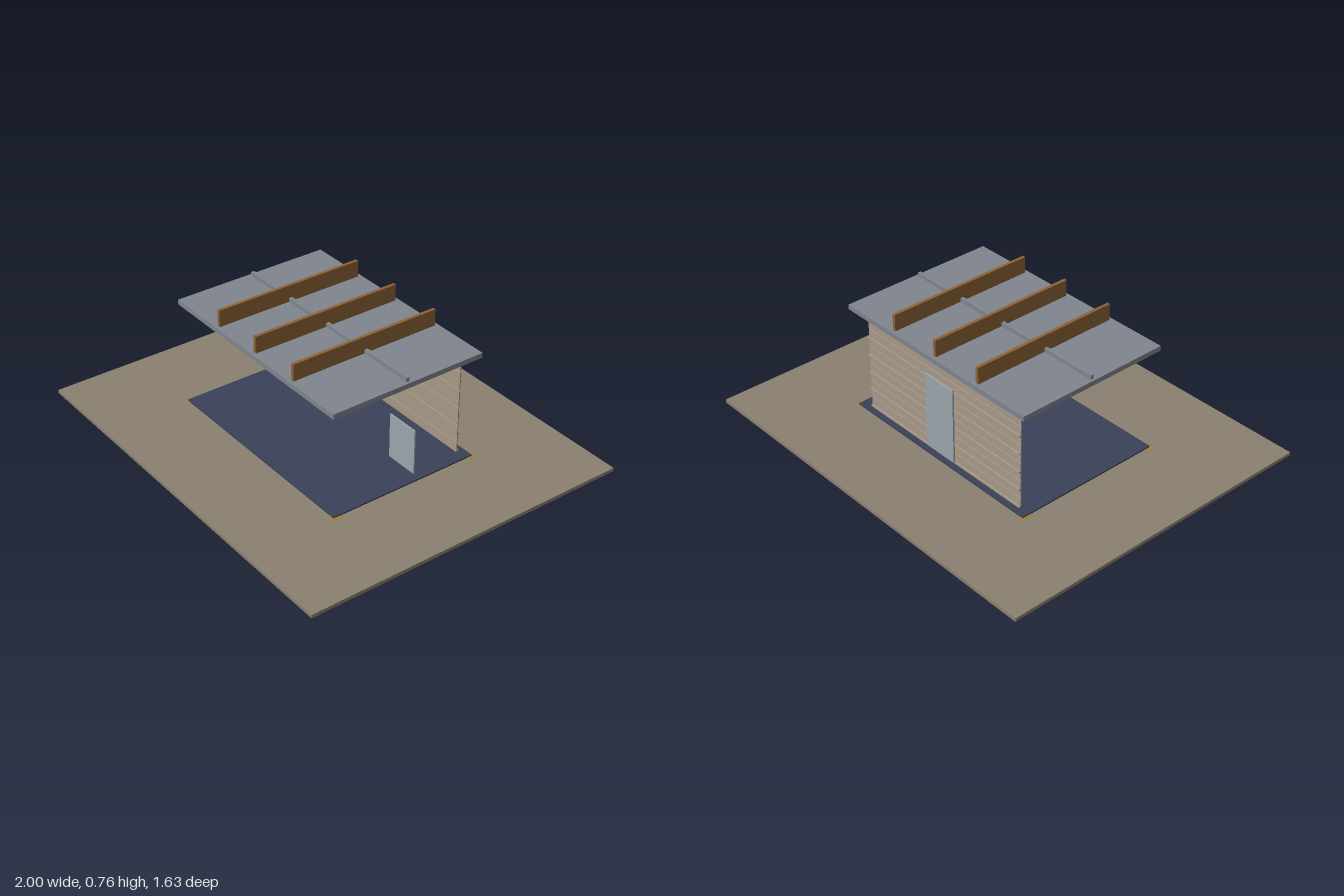
import * as THREE from 'three';

const material = (color) => new THREE.MeshStandardMaterial({ color });

export function createModel() {
  const model = new THREE.Group();
  const ochre = material(0xa8842a), grey = material(0x9a97a0), darkGrey = material(0x84868a);
  const earth = material(0x8b8070), navy = material(0x3a4258), roofGrey = material(0x80858e);
  const timber = material(0x8c6236), siding = material(0xa89a88), glass = material(0x9ca8ad);
  const green = material(0x3f8a48);

  // Box given by its minimum and maximum on each axis
  function box(name, mat, x0, x1, y0, y1, z0, z1) {
    const mesh = new THREE.Mesh(new THREE.BoxGeometry(x1 - x0, y1 - y0, z1 - z0), mat);
    mesh.position.set((x0 + x1) / 2, (y0 + y1) / 2, (z0 + z1) / 2);
    mesh.name = name;
    model.add(mesh);
    return mesh;
  }
  // Box centred on x and z
  const slab = (name, mat, hx, hz, y0, y1) => box(name, mat, -hx, hx, y0, y1, -hz, hz);

  // Foundation: stepped skirt under a top plate
  slab('lowerSkirt', grey, 0.59, 0.405, 0.001, 0.068);
  slab('upperSkirt', darkGrey, 0.572, 0.388, 0.068, 0.112);
  slab('foundationTop', ochre, 0.59, 0.405, 0.112, 0.131);

  // Border strips on the underside
  for (const s of [-1, 1]) {
    const z = s * 0.325, x = s * 0.51;
    box('undersideStrip', ochre, -0.56, 0.56, 0, 0.004, z - 0.055, z + 0.055);
    box('undersideStrip', ochre, x - 0.05, x + 0.05, 0, 0.004, -0.27, 0.27);
  }

  // Corner brackets: one plate on each face, leaving the corner notched
  for (const sx of [-1, 1]) for (const sz of [-1, 1]) {
    const x = sx * 0.51, z = sz * 0.33;
    box('cornerPlateFront', ochre, x - 0.05, x + 0.05, 0, 0.131, sz * 0.395 - 0.02, sz * 0.395 + 0.02);
    box('cornerPlateSide', ochre, sx * 0.58 - 0.02, sx * 0.58 + 0.02, 0, 0.131, z - 0.05, z + 0.05);
    box('cornerPad', ochre, sx * 0.55 - 0.022, sx * 0.55 + 0.022, 0.131, 0.149,
      sz * 0.367 - 0.021, sz * 0.367 + 0.021);
  }

  // Ground pipes running front to back
  for (const s of [-1, 1]) {
    const pipe = new THREE.Mesh(new THREE.CylinderGeometry(0.014, 0.014, 1.2, 12), green);
    pipe.rotation.x = Math.PI / 2;
    pipe.position.set(s * 0.515, 0.129, 0);
    pipe.name = 'groundPipe';
    model.add(pipe);
  }

  // Ground and floor
  slab('ground', earth, 1, 0.817, 0.131, 0.148);
  slab('floor', navy, 0.56, 0.38, 0.148, 0.155);

  // Back wall: boards with narrow gaps and a ledge along the middle of each
  const pitch = 0.0915;
  for (let i = 0; i < 6; i++) {
    const y0 = i === 0 ? 0.155 : 0.113 + i * pitch + 0.003;
    const y1 = Math.min(0.113 + (i + 1) * pitch - 0.002, 0.66);
    box('wallBoard', siding, -0.505, 0.505, y0, y1, -0.343, -0.338);
    const ledge = 0.159 + i * pitch;
    box('wallLedge', siding, -0.505, 0.505, ledge - 0.004, ledge + 0.004, -0.351, -0.343);
  }
  box('door', glass, -0.09, 0.09, 0.165, 0.545, -0.36, -0.352);

  // Free panel at the left end
  box('sidePanel', glass, 0.455, 0.62, 0.25, 0.468, -0.003, 0.003);

  // Roof with ridge strip and cross beams
  slab('roof', roofGrey, 0.576, 0.395, 0.66, 0.684);
  slab('ridgeStrip', roofGrey, 0.563, 0.008, 0.684, 0.703);
  for (const x of [-0.273, 0, 0.273]) {
    box('roofBeam', timber, x - 0.008, x + 0.008, 0.684, 0.765, -0.378, 0.378);
  }
  return model;
}
